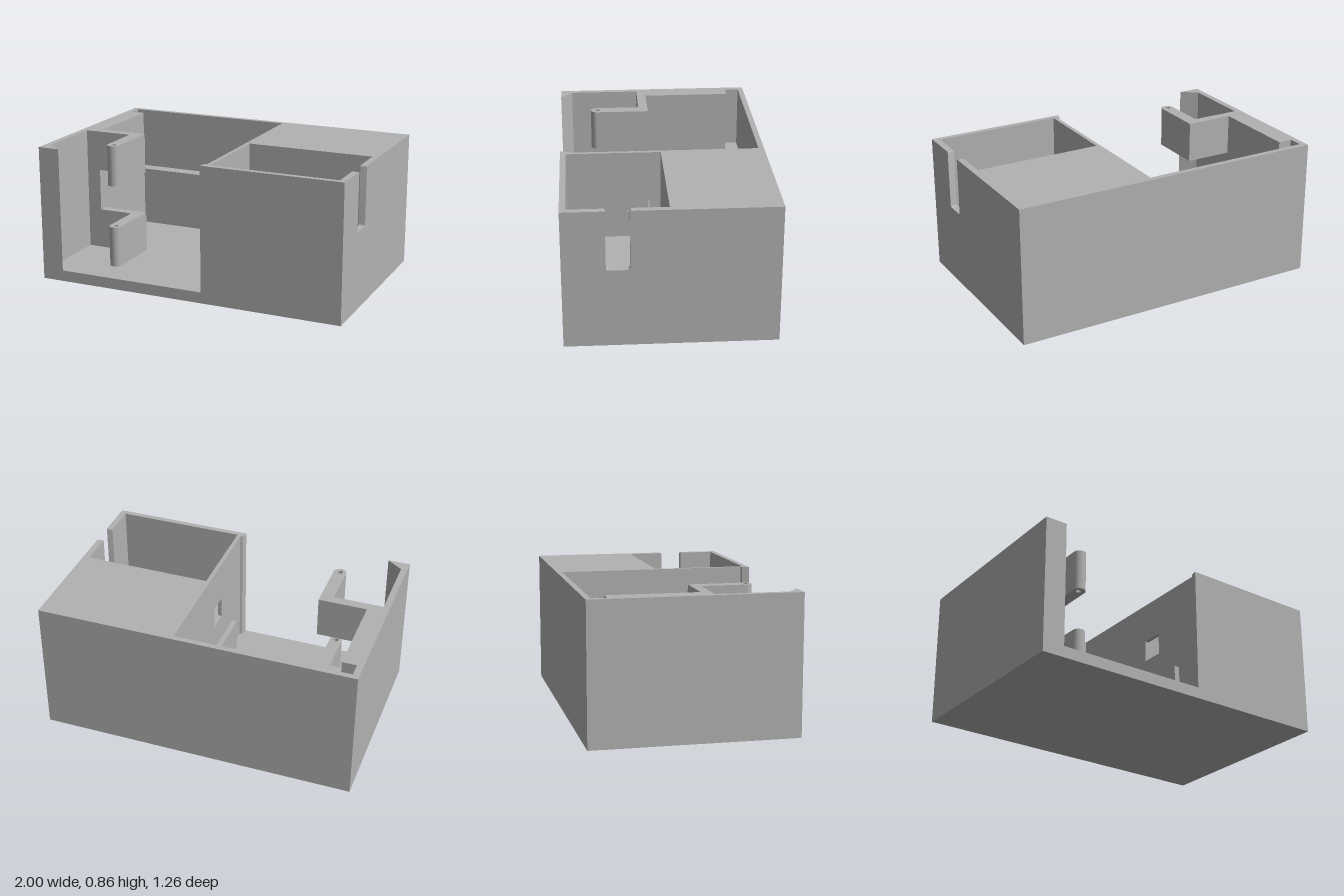
import * as THREE from 'three';
import { toCreasedNormals } from 'three/addons/utils/BufferGeometryUtils.js';

const FLOOR = 0.07, TOP = 0.86, SHELF = 0.29;

export function createModel() {
  const model = new THREE.Group();
  const grey = new THREE.MeshStandardMaterial({ color: 0xb2b2b2 });
  grey.name = 'plain grey';

  const add = (name, geometry) => {
    const mesh = new THREE.Mesh(geometry, grey);
    mesh.name = name;
    model.add(mesh);
  };
  // Box given by its limits on each axis
  const box = (name, x0, x1, y0, y1, z0, z1) => {
    const g = new THREE.BoxGeometry(x1 - x0, y1 - y0, z1 - z0);
    g.translate((x0 + x1) / 2, (y0 + y1) / 2, (z0 + z1) / 2);
    add(name, g);
  };
  const extrude = (shape, depth) => toCreasedNormals(
    new THREE.ExtrudeGeometry(shape, { depth, bevelEnabled: false, curveSegments: 16 }), 0.5);
  const polygon = (points) => new THREE.Shape(points.map(([a, b]) => new THREE.Vector2(a, -b)));
  // Floor plan (x, -z) raised from y0 to y1
  const raise = (name, shape, y0, y1) =>
    add(name, extrude(shape, y1 - y0).rotateX(-Math.PI / 2).translate(0, y0, 0));
  // Side elevation (-z, y) thickened from x0 to x1
  const sideWall = (name, shape, x0, x1) =>
    add(name, extrude(shape, x1 - x0).rotateY(Math.PI / 2).translate(x0, 0, 0));

  // Floor plate
  box('floor', -1, 1, 0, FLOOR, -0.635, 0.63);

  // Thick side wall with front pocket, corner chamfer and rear groove
  raise('sideWall', polygon([
    [-1, 0.63], [-0.86, 0.63], [-0.96, 0.555], [-0.96, 0.11], [-0.87, 0.11],
    [-0.87, -0.51], [-0.96, -0.51], [-0.96, -0.6], [-1, -0.6],
  ]), FLOOR, TOP);

  // Back wall and its ledge
  box('backWall', -1, 0.13, FLOOR, TOP, -0.635, -0.6);
  box('backLedge', -0.96, 0.13, FLOOR, 0.46, -0.6, -0.51);

  // Two hooked arms with round ends and pin holes
  const arm = new THREE.Shape();
  arm.moveTo(-0.87, -0.05);
  arm.lineTo(-0.565, -0.05);
  arm.lineTo(-0.565, -0.39);
  arm.absarc(-0.605, -0.39, 0.04, 0, -Math.PI, true);
  arm.lineTo(-0.645, -0.11);
  arm.lineTo(-0.87, -0.11);
  arm.closePath();
  const pinHole = new THREE.Path();
  pinHole.absarc(-0.605, -0.39, 0.017, 0, Math.PI * 2, false);
  arm.holes.push(pinHole);
  raise('lowerArm', arm, FLOOR, 0.33);
  raise('upperArm', arm, 0.6, TOP);

  // Solid base under the closed compartment, and the solid rear block
  raise('compartmentBase', polygon([
    [0.13, 0.01], [1, 0.01], [1, 0.63], [0.105, 0.63], [0.115, 0.585], [0.13, 0.58],
  ]), FLOOR, SHELF);
  box('rearBlock', 0.13, 1, FLOOR, TOP, -0.635, 0.01);

  // Front wall with a small lip at the opening
  raise('frontWall', polygon([
    [0.105, 0.63], [1, 0.63], [1, 0.595], [0.13, 0.595], [0.13, 0.58], [0.115, 0.585],
  ]), SHELF, TOP);

  // Dividing wall with a square window
  const divider = new THREE.Shape();
  divider.moveTo(-0.595, SHELF);
  divider.lineTo(-0.01, SHELF);
  divider.lineTo(-0.01, TOP);
  divider.lineTo(-0.595, TOP);
  divider.closePath();
  divider.holes.push(new THREE.Path([[-0.22, 0.46], [-0.08, 0.46], [-0.08, 0.6], [-0.22, 0.6]]
    .map(([a, b]) => new THREE.Vector2(a, b))));
  sideWall('dividingWall', divider, 0.13, 0.155);

  // Low rib along the dividing wall
  box('rib', 0.095, 0.13, FLOOR, SHELF, -0.08, 0.42);

  // Outer wall with a round-cornered cable slot open at the top
  const r = 0.018, a = -0.375, b = -0.235, bottom = 0.49;
  const outer = new THREE.Shape();
  outer.moveTo(-0.595, SHELF);
  outer.lineTo(-0.01, SHELF);
  outer.lineTo(-0.01, TOP);
  outer.lineTo(b + 0.01, TOP);
  outer.quadraticCurveTo(b, TOP, b, TOP - 0.01);
  outer.lineTo(b, bottom + r);
  outer.quadraticCurveTo(b, bottom, b - r, bottom);
  outer.lineTo(a + r, bottom);
  outer.quadraticCurveTo(a, bottom, a, bottom + r);
  outer.lineTo(a, TOP - 0.01);
  outer.quadraticCurveTo(a, TOP, a - 0.01, TOP);
  outer.lineTo(-0.595, TOP);
  outer.closePath();
  sideWall('slottedWall', outer, 0.96, 1);

  return model;
}
